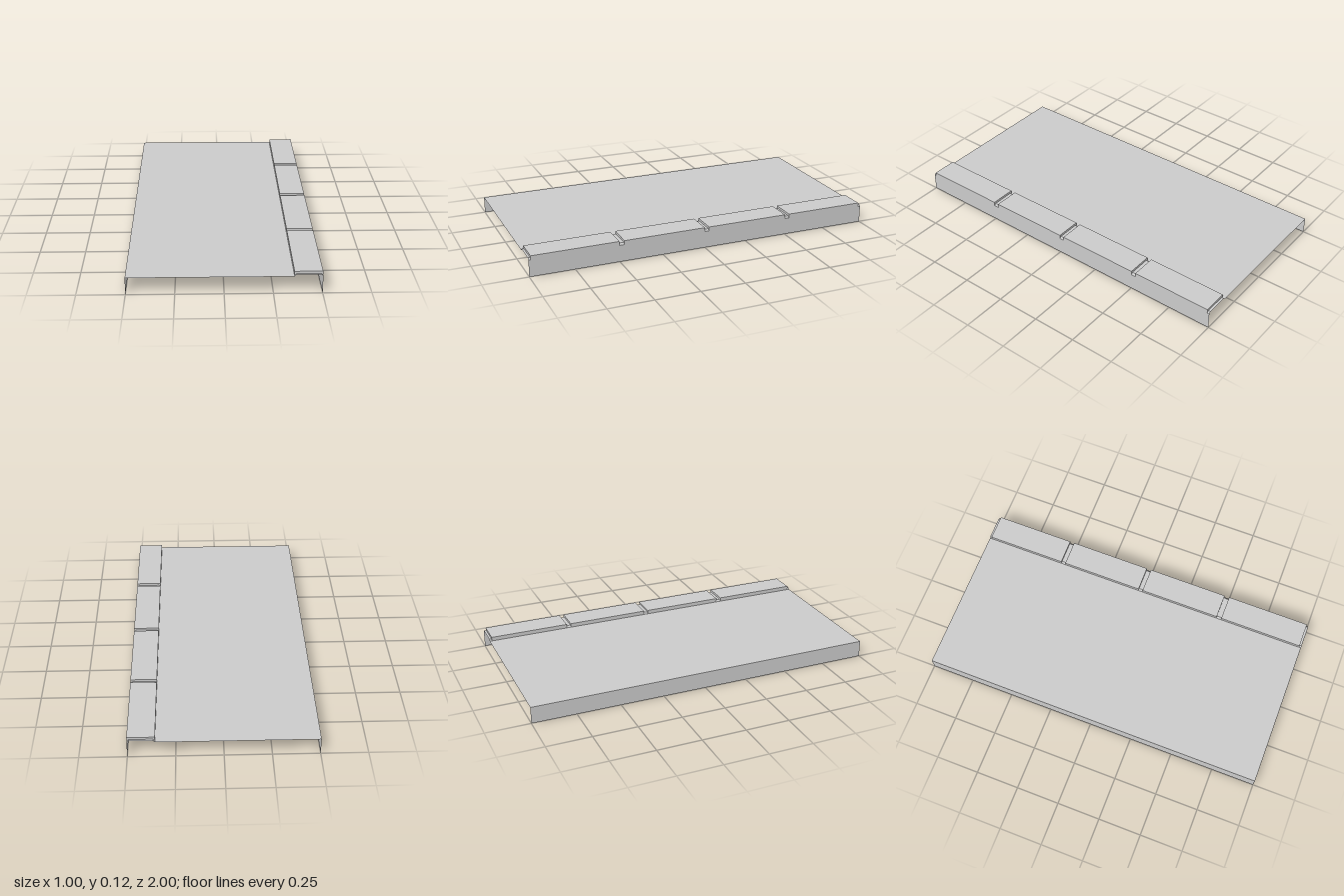
import * as THREE from 'three';

const material = new THREE.MeshStandardMaterial({ color: 0xcccccc, flatShading: true, side: THREE.DoubleSide });

// Open sheet: an x/y profile swept straight along z
function sheet(name, profile, z0, z1) {
  const positions = [];
  for (let i = 0; i < profile.length - 1; i++) {
    const [ax, ay] = profile[i], [bx, by] = profile[i + 1];
    positions.push(ax, ay, z0, ax, ay, z1, bx, by, z1);
    positions.push(ax, ay, z0, bx, by, z1, bx, by, z0);
  }
  const geometry = new THREE.BufferGeometry();
  geometry.setAttribute('position', new THREE.Float32BufferAttribute(positions, 3));
  geometry.computeVertexNormals();
  const mesh = new THREE.Mesh(geometry, material);
  mesh.name = name;
  return mesh;
}

export function createModel() {
  const model = new THREE.Group();
  model.name = 'platformSection';

  const deckY = 0.095, grooveY = 0.105, topY = 0.118;
  const inner = 0.355, outer = 0.5, chamfer = 0.01;

  // Flat deck with its folded-down side wall
  model.add(sheet('deck', [[-0.5, 0], [-0.5, deckY], [inner, deckY]], -1, 1));

  // Outer wall below the raised edging
  model.add(sheet('outerWall', [[outer, deckY], [outer, 0]], -1, 1));

  // Edging cross-sections: raised slab and the chamfered joint between slabs
  const slab = [[inner, deckY], [inner, topY], [outer, topY], [outer, deckY]];
  const joint = [[inner, deckY], [inner + chamfer, grooveY], [outer - chamfer, grooveY], [outer, deckY]];

  // Step face closing the height difference between slab and joint
  const stepShape = new THREE.Shape(
    [...slab, ...joint.slice(1, 3).reverse()].map(([x, y]) => new THREE.Vector2(x, y))
  );
  const stepGeometry = new THREE.ShapeGeometry(stepShape);

  // Alternate joints and slabs along the edge
  const stops = [-1, -0.987, -0.526, -0.5, -0.025, 0.001, 0.472, 0.501, 0.988, 1];
  for (let i = 0; i < stops.length - 1; i++) {
    const isSlab = i % 2 === 1;
    model.add(sheet(isSlab ? 'edgeSlab' : 'edgeJoint', isSlab ? slab : joint, stops[i], stops[i + 1]));
    if (!isSlab) continue;
    for (const z of [stops[i], stops[i + 1]]) {
      const step = new THREE.Mesh(stepGeometry, material);
      step.name = 'slabEnd';
      step.position.z = z;
      model.add(step);
    }
  }
  return model;
}
